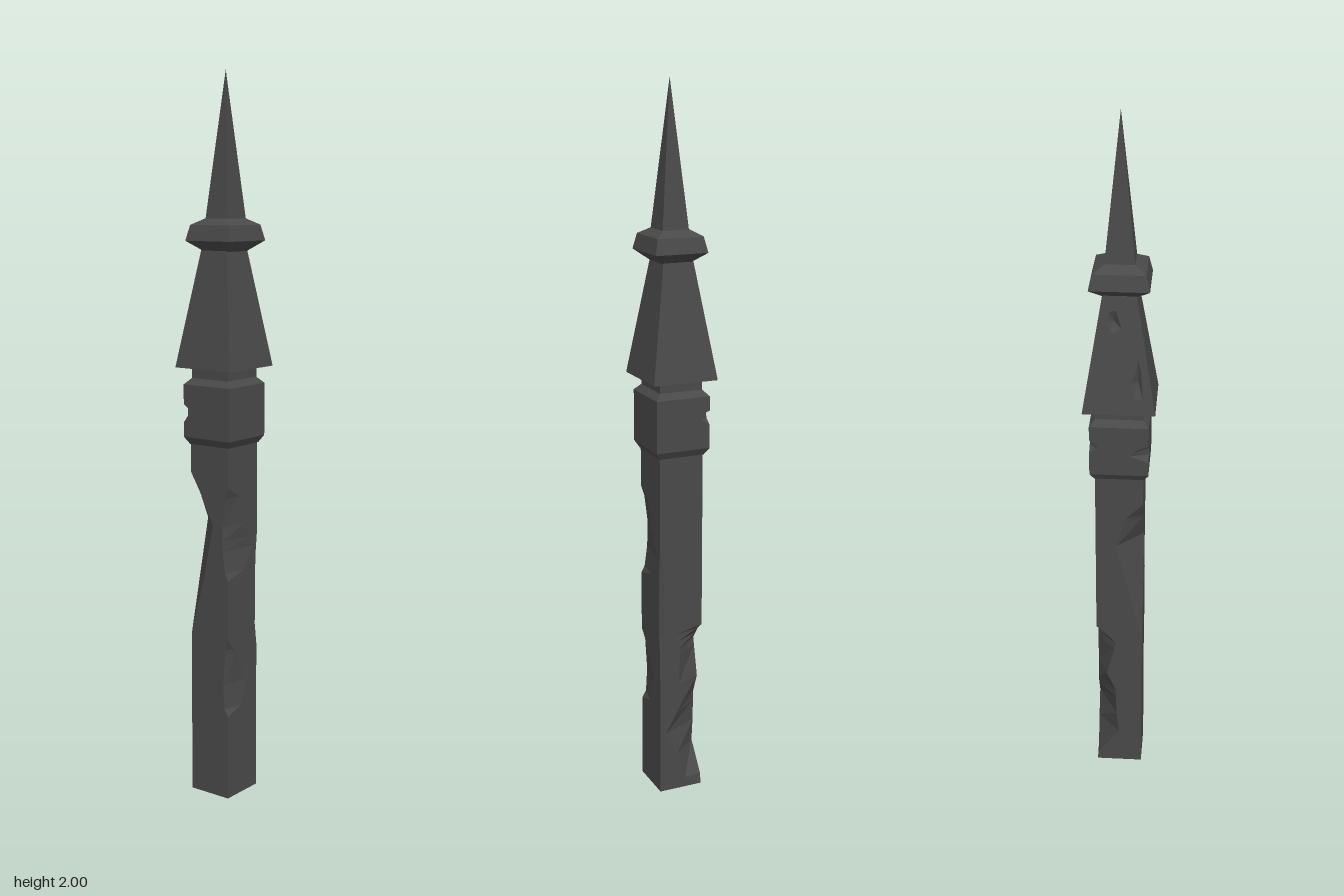
import * as THREE from 'three';

const stone = new THREE.MeshStandardMaterial({ color: 0x494949 });
stone.name = 'dark stone';

// Linear interpolation of rows [key, a, b] at height y
function sample(rows, y) {
  if (!rows || y <= rows[0][0] || y >= rows[rows.length - 1][0]) {
    if (!rows) return [0, 0];
    return (y <= rows[0][0] ? rows[0] : rows[rows.length - 1]).slice(1);
  }
  const i = rows.findIndex((r) => r[0] > y);
  const a = rows[i - 1], b = rows[i], t = (y - a[0]) / (b[0] - a[0]);
  return [1, 2].map((k) => a[k] + (b[k] - a[k]) * t);
}

function facetMesh(name, tris) {
  const g = new THREE.BufferGeometry().setFromPoints(tris);
  g.computeVertexNormals();
  const m = new THREE.Mesh(g, stone);
  m.name = name;
  return m;
}

// Square corners, counter-clockwise seen from above
const CORNERS = [[1, 1], [1, -1], [-1, -1], [-1, 1]];

// Square tower from rings [y, halfX, halfZ]; chips[corner] holds rows
// [y, cut along x, cut along z] that break that corner away.
function tower(name, rings, { chips = [], zOff = 0, openBack = false } = {}) {
  const extra = chips.flatMap((c) => (c ? c.map((r) => r[0]) : []));
  const ys = [...new Set([...rings.map((r) => r[0]), ...extra])].sort((a, b) => a - b);
  const sections = ys.map((y) => {
    const [hx, hz] = sample(rings, y);
    return CORNERS.flatMap(([sx, sz], i) => {
      const [cx, cz] = sample(chips[i], y);
      const onX = new THREE.Vector3(sx * (hx - cx), y, sz * hz + zOff);
      const onZ = new THREE.Vector3(sx * hx, y, sz * (hz - cz) + zOff);
      return sx * sz > 0 ? [onX, onZ] : [onZ, onX];
    });
  });
  const tris = [];
  const add = (a, b, c) => {
    const area = b.clone().sub(a).cross(c.clone().sub(a)).length();
    if (area > 1e-9) tris.push(a, b, c);
  };
  for (let s = 0; s < sections.length - 1; s++) {
    const lo = sections[s], hi = sections[s + 1];
    for (let i = 0; i < 8; i++) {
      if (openBack && i === 3) continue;
      const j = (i + 1) % 8;
      add(lo[i], lo[j], hi[j]);
      add(lo[i], hi[j], hi[i]);
    }
  }
  // End caps
  const first = sections[0], last = sections[sections.length - 1];
  for (let i = 1; i < 7; i++) {
    add(first[0], first[i + 1], first[i]);
    add(last[0], last[i], last[i + 1]);
  }
  return facetMesh(name, tris);
}

// Sloping back face with chipped pits sunk into it
function pittedBack(name, lo, hi, pits) {
  const zAt = (y) => -sample([lo, hi], y)[1];
  const outline = [[-lo[1], lo[0]], [lo[1], lo[0]], [hi[1], hi[0]], [-hi[1], hi[0]]]
    .map((p) => new THREE.Vector2(...p));
  const holes = pits.map(({ x, y, w, h, radii }) => radii.map((r, i) => {
    const a = (i / radii.length) * Math.PI * 2;
    return new THREE.Vector2(x + Math.cos(a) * r * w, y + Math.sin(a) * r * h);
  }));
  const faces = THREE.ShapeUtils.triangulateShape(outline, holes);
  const points = [outline, ...holes].flat().map((p) => new THREE.Vector3(p.x, p.y, zAt(p.y)));
  const tris = faces.flatMap(([a, b, c]) => [points[a], points[c], points[b]]);
  holes.forEach((hole, k) => {
    const { x, y } = pits[k];
    const deep = new THREE.Vector3(x, y, zAt(y) + 0.014);
    hole.forEach((p, i) => {
      const q = hole[(i + 1) % hole.length];
      tris.push(new THREE.Vector3(q.x, q.y, zAt(q.y)), new THREE.Vector3(p.x, p.y, zAt(p.y)), deep);
    });
  });
  return facetMesh(name, tris);
}

export function createModel() {
  const model = new THREE.Group();
  model.name = 'weathered stone post';

  // Shaft with its four broken corners
  const shaftChips = [
    [[0.42, 0, 0], [0.48, 0.008, 0.01], [0.6, 0.008, 0.012], [0.68, 0.006, 0.01], [0.74, 0, 0]],
    [[0, 0, 0.02], [0.03, 0.005, 0.05], [0.11, 0.065, 0.075], [0.18, 0.058, 0.11], [0.27, 0.055, 0.06],
      [0.33, 0.03, 0.07], [0.44, 0.056, 0.065], [0.48, 0.025, 0.08], [0.5, 0, 0]],
    [[0.46, 0, 0], [0.63, 0.04, 0.045], [0.78, 0.075, 0.075], [0.87, 0.05, 0.03], [0.92, 0, 0]],
    [[0.24, 0, 0], [0.26, 0.06, 0.012], [0.33, 0.085, 0.016], [0.43, 0.03, 0.01], [0.46, 0, 0],
      [0.63, 0, 0], [0.65, 0.07, 0.01], [0.71, 0.115, 0.018], [0.78, 0.07, 0.02], [0.86, 0.05, 0.01], [0.89, 0, 0]],
  ];
  model.add(tower('shaft', [[0, 0.066, 0.064], [1.005, 0.066, 0.064]], { chips: shaftChips }));

  // Block with two notched back corners
  const blockChips = [null,
    [[1.085, 0, 0], [1.1, 0.02, 0.025], [1.115, 0.025, 0.03], [1.125, 0, 0]],
    [[1.06, 0, 0], [1.08, 0.05, 0.015], [1.1, 0.03, 0.015], [1.11, 0, 0]]];
  model.add(tower('block', [[1, 0.068, 0.066], [1.02, 0.08, 0.078], [1.165, 0.08, 0.078], [1.182, 0.064, 0.062]],
    { chips: blockChips }));
  model.add(tower('neck', [[1.175, 0.064, 0.062], [1.215, 0.064, 0.062]]));

  // Tapered roof, its back face pitted
  const base = [1.212, 0.097, 0.093], top = [1.53, 0.045, 0.043];
  model.add(tower('roof', [base, top], { openBack: true }));
  model.add(pittedBack('roofBack', base, top, [
    { x: 0.014, y: 1.46, w: 0.022, h: 0.036, radii: [0.8, 1, 0.9, 0.6, 1, 0.7, 0.9] },
    { x: -0.05, y: 1.3, w: 0.018, h: 0.06, radii: [0.9, 0.6, 1, 0.7, 0.6, 1, 0.8, 0.9] },
  ]));

  // Collar and spike
  model.add(tower('collar', [[1.525, 0.043, 0.04], [1.553, 0.079, 0.075], [1.595, 0.069, 0.066], [1.612, 0.04, 0.038]],
    { zOff: 0.004 }));
  model.add(tower('spike', [[1.608, 0.04, 0.038], [2, 0, 0]], { zOff: 0.005 }));
  return model;
}
